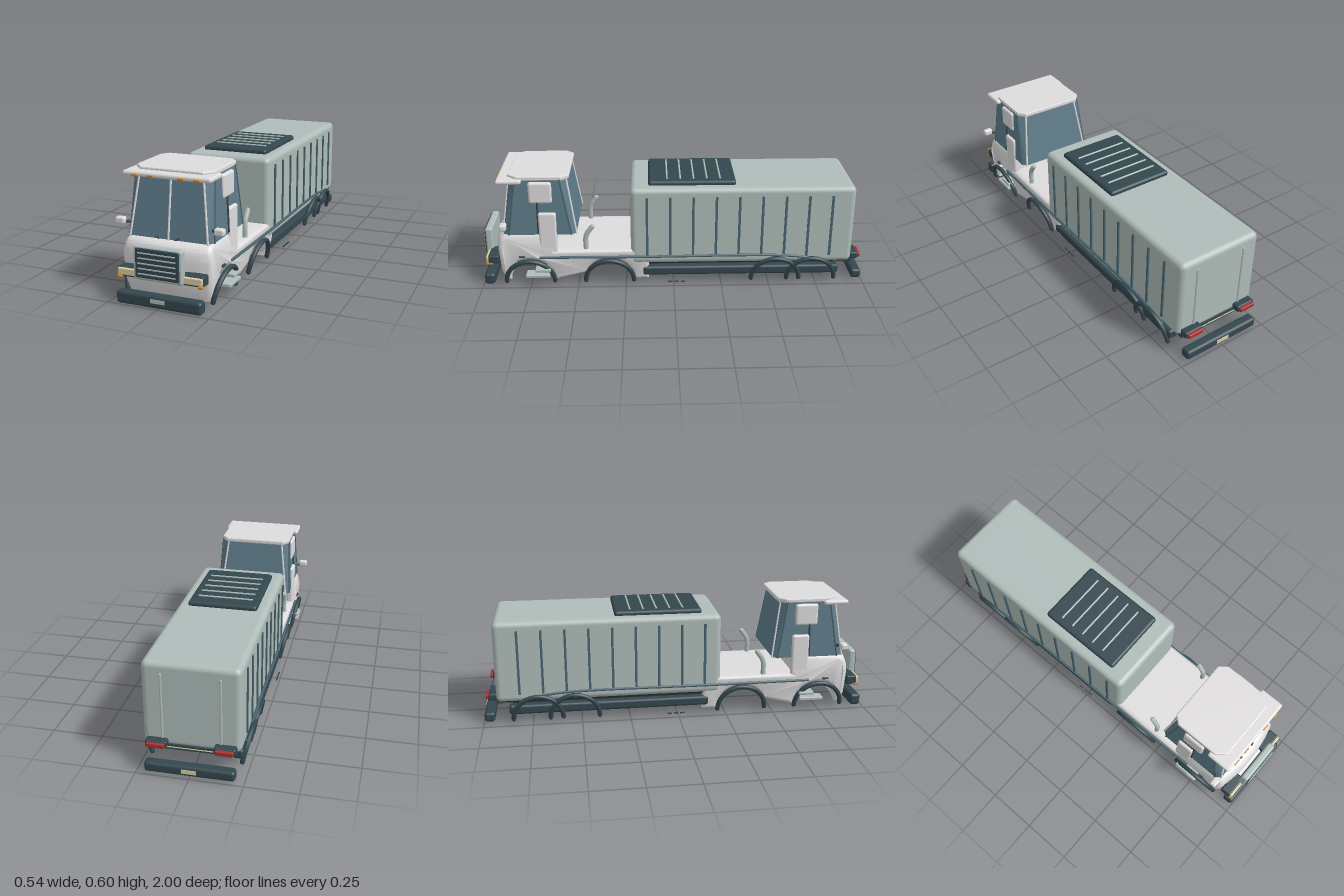
import * as THREE from 'three';
import { toCreasedNormals } from 'three/addons/utils/BufferGeometryUtils.js';
import { RoundedBoxGeometry } from 'three/addons/geometries/RoundedBoxGeometry.js';
import { ConvexGeometry } from 'three/addons/geometries/ConvexGeometry.js';

const mat = (name, color) => {
  const m = new THREE.MeshStandardMaterial({ color });
  m.name = name;
  return m;
};
const V = (x, y, z) => new THREE.Vector3(x, y, z);

export function createModel() {
  const white = mat('cab white', 0xdedcdc);
  const green = mat('pale grey green', 0xafbdb9);
  const dark = mat('dark slate', 0x33474e);
  const black = mat('underside black', 0x20292c);
  const slate = mat('blue slate', 0x4a6570);
  const glass = mat('glass blue', 0x5f7c8a);
  const cream = mat('lamp cream', 0xd8cea2);
  const amber = mat('amber', 0xd4892c);
  const red = mat('lamp red', 0xa83232);

  const root = new THREE.Group();
  root.name = 'truck';
  const add = (name, geo, material) => {
    const m = new THREE.Mesh(geo, material);
    m.name = name;
    root.add(m);
    return m;
  };
  // Rounded box given by its limits; r = 0 makes a plain box
  const box = (name, material, x0, x1, y0, y1, z0, z1, r = 0) => {
    const w = Math.abs(x1 - x0), h = y1 - y0, d = z1 - z0;
    const geo = r ? new RoundedBoxGeometry(w, h, d, 3, r) : new THREE.BoxGeometry(w, h, d);
    const m = add(name, geo, material);
    m.position.set((x0 + x1) / 2, (y0 + y1) / 2, (z0 + z1) / 2);
    return m;
  };
  // Tube through points, with rounded bends and closed ends
  const rod = (name, material, r, pts) => {
    const path = new THREE.CurvePath();
    for (let i = 1; i < pts.length; i++) path.add(new THREE.LineCurve3(pts[i - 1], pts[i]));
    const curve = pts.length > 2 ? new THREE.CatmullRomCurve3(pts, false, 'centripetal') : path.curves[0];
    add(name, new THREE.TubeGeometry(curve, pts.length > 2 ? 16 : 1, r, 8), material);
    for (const p of [pts[0], pts[pts.length - 1]])
      add(name + 'End', new THREE.SphereGeometry(r, 8, 6), material).position.copy(p);
  };

  // Lower cab and deck: side profile with full-width wheel arches
  const s = new THREE.Shape();
  s.moveTo(0.905, 0.025);
  s.lineTo(0.925, 0.08);
  s.lineTo(0.932, 0.2);
  s.bezierCurveTo(0.932, 0.26, 0.92, 0.285, 0.87, 0.29);
  s.lineTo(0.62, 0.29);
  s.lineTo(0.615, 0.2);
  s.lineTo(0.13, 0.2);
  s.lineTo(0.13, 0.025);
  s.absarc(0.335, 0.025, 0.127, Math.PI, 0.35, true);
  s.lineTo(0.62, 0.025);
  s.absarc(0.75, 0.025, 0.127, Math.PI, 0, true);
  s.closePath();
  let body = new THREE.ExtrudeGeometry(s, {
    depth: 0.41, steps: 10, curveSegments: 20,
    bevelSize: 0.018, bevelOffset: -0.018, bevelThickness: 0.02, bevelSegments: 4,
  });
  body.translate(0, 0, -0.205).rotateY(-Math.PI / 2);
  // Sides lean in above and below the waist, nose bows forward
  const p = body.attributes.position;
  for (let i = 0; i < p.count; i++) {
    const x = p.getX(i), y = p.getY(i), z = p.getZ(i);
    const k = 1 - Math.max(0, 0.17 - y) * 0.5 - Math.max(0, y - 0.2) * 0.7;
    p.setX(i, x * k);
    if (z > 0.84) p.setZ(i, z - 0.6 * x * x);
  }
  add('lowerBody', toCreasedNormals(body, 0.6), white);

  // Glasshouse: tapered eight-sided block
  const ring = (y, side, front, zf, zfc, zbc, zb) =>
    [1, -1].flatMap(k => [V(k * front, y, zf), V(k * side, y, zfc), V(k * side, y, zbc), V(k * front, y, zb)]);
  const low = ring(0.29, 0.211, 0.192, 0.877, 0.845, 0.525, 0.5);
  const high = ring(0.585, 0.195, 0.156, 0.835, 0.80, 0.575, 0.545);
  add('cabGlass', new ConvexGeometry([...low, ...high]), glass);
  for (const i of [0, 3, 4, 7]) rod('windowPillar', white, 0.005, [low[i], high[i]]);
  for (const i of [1, 2, 5, 6]) rod('windowTrim', slate, 0.004, [low[i], high[i]]);
  rod('windscreenDivider', white, 0.005, [V(0, 0.29, 0.878), V(0, 0.58, 0.837)]);

  // Roof with clipped corners, and sun visor with marker lamps
  const roofShape = new THREE.Shape([[0.19, -0.57], [0.19, -0.79], [0.15, -0.835], [-0.15, -0.835],
    [-0.19, -0.79], [-0.19, -0.57], [-0.16, -0.535], [0.16, -0.535]].map(a => new THREE.Vector2(...a)));
  const roof = new THREE.ExtrudeGeometry(roofShape, {
    depth: 0.012, bevelSize: 0.006, bevelThickness: 0.006, bevelSegments: 2,
  });
  add('roof', roof.rotateX(-Math.PI / 2).translate(0, 0.585, 0), white);
  box('sunVisor', white, -0.217, 0.217, 0.567, 0.591, 0.765, 0.893, 0.011);
  for (const x of [-0.152, -0.075, 0.075, 0.152])
    box('roofMarker', amber, x - 0.016, x + 0.016, 0.569, 0.581, 0.87, 0.899, 0.003);

  // Grille
  box('grilleFrame', green, -0.12, 0.12, 0.125, 0.284, 0.95, 0.988, 0.012);
  box('grillePanel', dark, -0.107, 0.107, 0.139, 0.276, 0.975, 0.994, 0.006);
  for (let i = 0; i < 5; i++)
    box('grilleSlat', green, -0.092, 0.092, 0.157 + i * 0.024, 0.162 + i * 0.024, 0.985, 0.999);
  box('chinPanel', white, -0.15, 0.15, 0.11, 0.15, 0.90, 0.945, 0.015);

  // Bumpers and plates
  box('frontBumper', dark, -0.21, 0.21, 0.002, 0.062, 0.94, 0.994, 0.015);
  box('frontPlate', green, -0.035, 0.035, 0.029, 0.047, 0.988, 0.997);
  box('rearBumper', dark, -0.21, 0.21, 0.012, 0.062, -0.995, -0.942, 0.015);
  box('rearPlate', cream, -0.035, 0.035, 0.028, 0.048, -0.998, -0.989);

  // Cargo box, roof unit and floor
  box('cargoBox', green, -0.226, 0.226, 0.12, 0.54, -0.93, 0.222, 0.028);
  box('roofUnit', dark, -0.174, 0.174, 0.53, 0.562, -0.32, 0.128, 0.014);
  for (let i = 0; i < 5; i++)
    box('roofUnitSlat', green, -0.14, 0.14, 0.555, 0.568, -0.244 + i * 0.068, -0.235 + i * 0.068, 0.004);
  box('underTray', black, -0.2, 0.2, 0.112, 0.124, -0.915, 0.2);
  box('floorSlab', black, -0.195, 0.195, 0.052, 0.098, -0.85, 0.14);
  box('rearSill', dark, -0.205, 0.205, 0.11, 0.134, -0.936, -0.9);
  box('rearSillStrip', cream, -0.14, 0.14, 0.121, 0.124, -0.94, -0.935);

  // Paired parts
  for (const k of [1, -1]) {
    box('headlightHousing', dark, k * 0.09, k * 0.211, 0.122, 0.17, 0.91, 0.965, 0.008);
    box('headlight', cream, k * 0.1, k * 0.207, 0.133, 0.165, 0.945, 0.977, 0.005);
    box('turnSignal', amber, k * 0.188, k * 0.211, 0.119, 0.131, 0.94, 0.978, 0.004);

    // Mirror and wiper
    rod('mirrorArm', dark, 0.008, [V(k * 0.19, 0.346, 0.835), V(k * 0.235, 0.346, 0.865)]);
    box('mirror', white, k * 0.221, k * 0.269, 0.335, 0.368, 0.85, 0.884, 0.01);
    rod('wiper', dark, 0.004, [V(k * 0.042, 0.297, 0.892), V(k * 0.056, 0.304, 0.886)]);

    // Door pillar, in two pieces with a dark seam between
    box('lowerPillar', white, k * 0.185, k * 0.22, 0.19, 0.412, 0.6, 0.692, 0.012);
    box('upperPillar', white, k * 0.18, k * 0.21, 0.46, 0.575, 0.615, 0.735, 0.014);
    rod('doorSeam', dark, 0.005, [V(k * 0.212, 0.3, 0.694), V(k * 0.204, 0.47, 0.692)]);
    box('doorHandle', dark, k * 0.215, k * 0.232, 0.165, 0.176, 0.77, 0.802, 0.004);

    // Wheel arch trims, leaning outward at the top
    for (const z of [0.75, 0.335, -0.535, -0.722]) {
      const arch = add('wheelArch', new THREE.TorusGeometry(0.126, 0.012, 10, 28, Math.PI), dark);
      arch.rotation.set(0, Math.PI / 2, -k * 0.21, 'ZYX');
      arch.position.set(k * 0.214, 0.025, z);
      for (const e of [1, -1])
        add('wheelArchEnd', new THREE.SphereGeometry(0.012, 10, 6), dark).position.set(k * 0.214, 0.025, z + e * 0.126);
    }

    // Side rail, skirt, steps and ground ticks
    rod('sideRail', slate, 0.007, [V(k * 0.228, 0.166, 0.69), V(k * 0.232, 0.166, 0.2),
      V(k * 0.232, 0.166, -0.55), V(k * 0.232, 0.15, -0.72), V(k * 0.225, 0.12, -0.81)]);
    box('sideSkirt', dark, k * 0.17, k * 0.222, 0.05, 0.1, -0.868, 0.16, 0.014);
    box('upperStep', green, k * 0.19, k * 0.252, 0.09, 0.107, 0.64, 0.72, 0.005);
    box('lowerStep', green, k * 0.19, k * 0.252, 0.058, 0.076, 0.645, 0.77, 0.005);
    for (const z of [0.018, -0.015, -0.048])
      box('sideTick', dark, k * 0.236, k * 0.243, 0.02, 0.025, z - 0.011, z + 0.011);

    // Exhaust stack
    rod('exhaust', green, 0.013, [V(k * 0.193, 0.195, 0.455), V(k * 0.193, 0.275, 0.452), V(k * 0.193, 0.325, 0.42)]);

    // Cargo box ribs
    for (let i = 0; i < 9; i++) {
      const z = 0.137 - i * 0.1185;
      box('sideRib', slate, k * 0.222, k * 0.233, 0.163, 0.496, z - 0.006, z + 0.006);
    }
    rod('rearRib', green, 0.006, [V(k * 0.135, 0.16, -0.931), V(k * 0.135, 0.485, -0.931)]);

    // Rear lamps
    box('rearLampHousing', dark, k * 0.108, k * 0.208, 0.128, 0.163, -0.968, -0.925, 0.008);
    box('rearLamp', red, k * 0.116, k * 0.2, 0.134, 0.157, -0.982, -0.955, 0.005);
  }
  return root;
}
